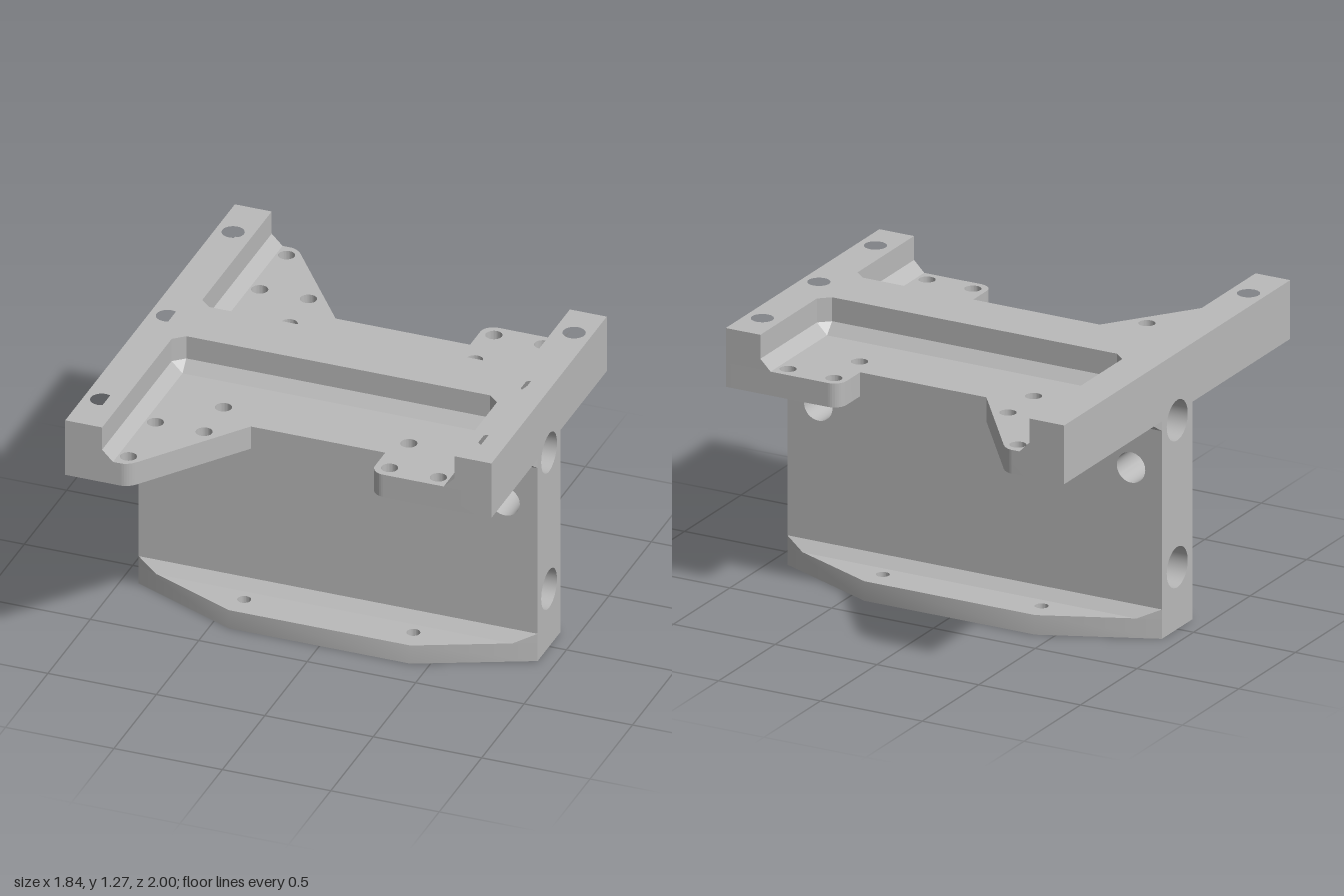
import * as THREE from 'three';
import { toCreasedNormals } from 'three/addons/utils/BufferGeometryUtils.js';

const WEB = 0.135, END = 0.92, CH = 0.18; // web half thickness, half length, chamfer toe

export function createModel() {
  const group = new THREE.Group();
  const metal = new THREE.MeshStandardMaterial({ color: 0xbababa });
  metal.name = 'machined grey metal';

  const add = (name, geometry) => {
    const mesh = new THREE.Mesh(geometry, metal);
    mesh.name = name;
    group.add(mesh);
  };
  const polygon = (pts) => new THREE.Shape(pts.map(([x, y]) => new THREE.Vector2(x, y)));
  const drill = (shape, r, centres) => {
    for (const [x, y] of centres) {
      shape.holes.push(new THREE.Path().absarc(x, y, r, 0, Math.PI * 2, true));
    }
    return shape;
  };
  const extrude = (shape, depth) => toCreasedNormals(
    new THREE.ExtrudeGeometry(shape, { depth, bevelEnabled: false, curveSegments: 20 }), 0.45);
  // Shape drawn in (x, z), standing between two heights
  const slab = (shape, y0, y1) =>
    extrude(shape, y1 - y0).rotateX(Math.PI / 2).translate(0, y1, 0);
  // Triangles from point triples; mirrored across z = 0 when side is -1
  const facets = (tris, side, flip = false) => {
    const reverse = (side < 0) !== flip;
    const pos = tris.flatMap((t) => (reverse ? [...t].reverse() : t))
      .flatMap(([x, y, z]) => [x, y, z * side]);
    const g = new THREE.BufferGeometry();
    g.setAttribute('position', new THREE.Float32BufferAttribute(pos, 3));
    g.computeVertexNormals();
    return g;
  };

  // Bottom flange: long octagon with four screw holes
  const quarter = [[END, WEB], [0.42, 0.355]];
  const flange = polygon([
    ...quarter,
    ...quarter.map(([x, z]) => [-x, z]).reverse(),
    ...quarter.map(([x, z]) => [-x, -z]),
    ...quarter.map(([x, z]) => [x, -z]).reverse(),
  ]);
  drill(flange, 0.03, [[0.39, 0.245], [-0.39, 0.245], [0.39, -0.245], [-0.39, -0.245]]);
  add('bottomFlange', slab(flange, 0, 0.09));

  // Upright web: lower and upper blocks bored lengthwise, middle block bored across
  for (const [name, y0, y1, hole] of [['webLower', 0.09, 0.5, 0.285], ['webUpper', 0.86, 1.11, 0.96]]) {
    const section = polygon([[-WEB, y0], [WEB, y0], [WEB, y1], [-WEB, y1]]);
    drill(section, 0.093, [[0, hole]]);
    add(name, extrude(section, 2 * END).rotateY(Math.PI / 2).translate(-END, 0, 0));
  }
  const middle = polygon([[-END, 0.5], [END, 0.5], [END, 0.86], [-END, 0.86]]);
  drill(middle, 0.07, [[-0.768, 0.76], [0.768, 0.76]]);
  add('webMiddle', extrude(middle, 2 * WEB).translate(0, 0, -WEB));

  // Raised frame on top: centre rib and two end rails
  const half = [[-END, 1], [-0.75, 1], [-0.75, CH], [-0.7, WEB], [0.7, WEB], [0.75, CH], [0.75, 0.68], [END, 0.68]];
  const frame = polygon([...half, ...half.map(([x, z]) => [x, -z]).reverse()]);
  drill(frame, 0.05, [[-0.84, 0], [0, 0], [0.84, 0],
    [-0.84, 0.775], [-0.84, -0.775], [0.84, 0.5], [0.84, -0.5]]);
  add('raisedFrame', slab(frame, 1.11, 1.27));

  // Sloped strip between web and plate, its ends cut back to the plate outline
  const webChamfer = (yWeb, yPlate, toe, side) => {
    const [w0, w1] = [-1, 1].map((s) => [s * END, yWeb, WEB]);
    const [p0, p1] = [-1, 1].map((s) => [s * toe, yPlate, CH]);
    const [r0, r1] = [-1, 1].map((s) => [s * END, yPlate, WEB]);
    return facets([[w0, p0, w1], [w1, p0, p1], [r1, w1, p1], [r0, p0, w0]], side, yWeb < yPlate);
  };

  for (const side of [1, -1]) {
    const label = side > 0 ? 'front' : 'back';

    // Thin plate with rounded tips and mounting holes
    const plate = new THREE.Shape();
    plate.moveTo(-END, WEB);
    plate.lineTo(END, WEB);
    plate.lineTo(END, 0.68);
    plate.lineTo(0.42, 0.68);
    plate.absarc(0.42, 0.62, 0.06, Math.PI / 2, Math.PI, false);
    plate.lineTo(0.36, 0.5);
    plate.lineTo(-0.26, 0.5);
    plate.lineTo(-0.6, 0.96);
    plate.quadraticCurveTo(-0.63, 1, -0.665, 1);
    plate.lineTo(-END, 1);
    plate.closePath();
    drill(plate, 0.037, [[-0.655, 0.932], [-0.655, 0.615], [-0.43, 0.615], [-0.43, 0.388],
      [0.425, 0.388], [0.425, 0.615], [0.65, 0.615]]);
    drill(plate, 0.05, [[-0.84, 0.775], [0.84, 0.5]]);
    if (side < 0) { // mirrored outline
      const flipZ = (pts) => pts.map((p) => [p.x, -p.y]);
      const { shape, holes } = plate.extractPoints(20);
      const mirrored = polygon(flipZ(shape));
      mirrored.holes = holes.map((h) => polygon(flipZ(h)));
      add(label + 'Plate', slab(mirrored, 1, 1.11));
    } else {
      add(label + 'Plate', slab(plate, 1, 1.11));
    }

    // Chamfer around the foot of the pocket walls
    const upper = half.slice(1, 7).map(([x, z]) => [x, 1.16, z]);
    const lower = [[-0.7, 1], [-0.7, CH], [-0.7, CH], [0.7, CH], [0.7, CH], [0.7, 0.68]]
      .map(([x, z]) => [x, 1.11, z]);
    const tris = [
      [upper[0], [-0.75, 1.11, 1], lower[0]],
      [lower[5], [0.75, 1.11, 0.68], upper[5]],
    ];
    for (let i = 0; i < 5; i++) {
      tris.push([upper[i], lower[i], upper[i + 1]]);
      if (i % 2 === 0) tris.push([upper[i + 1], lower[i], lower[i + 1]]);
    }
    add(label + 'PocketChamfer', facets(tris, side));

    add(label + 'LowerChamfer', webChamfer(0.135, 0.09, 0.82, side));
    add(label + 'UpperChamfer', webChamfer(0.955, 1, 0.87, side));
  }

  return group;
}
